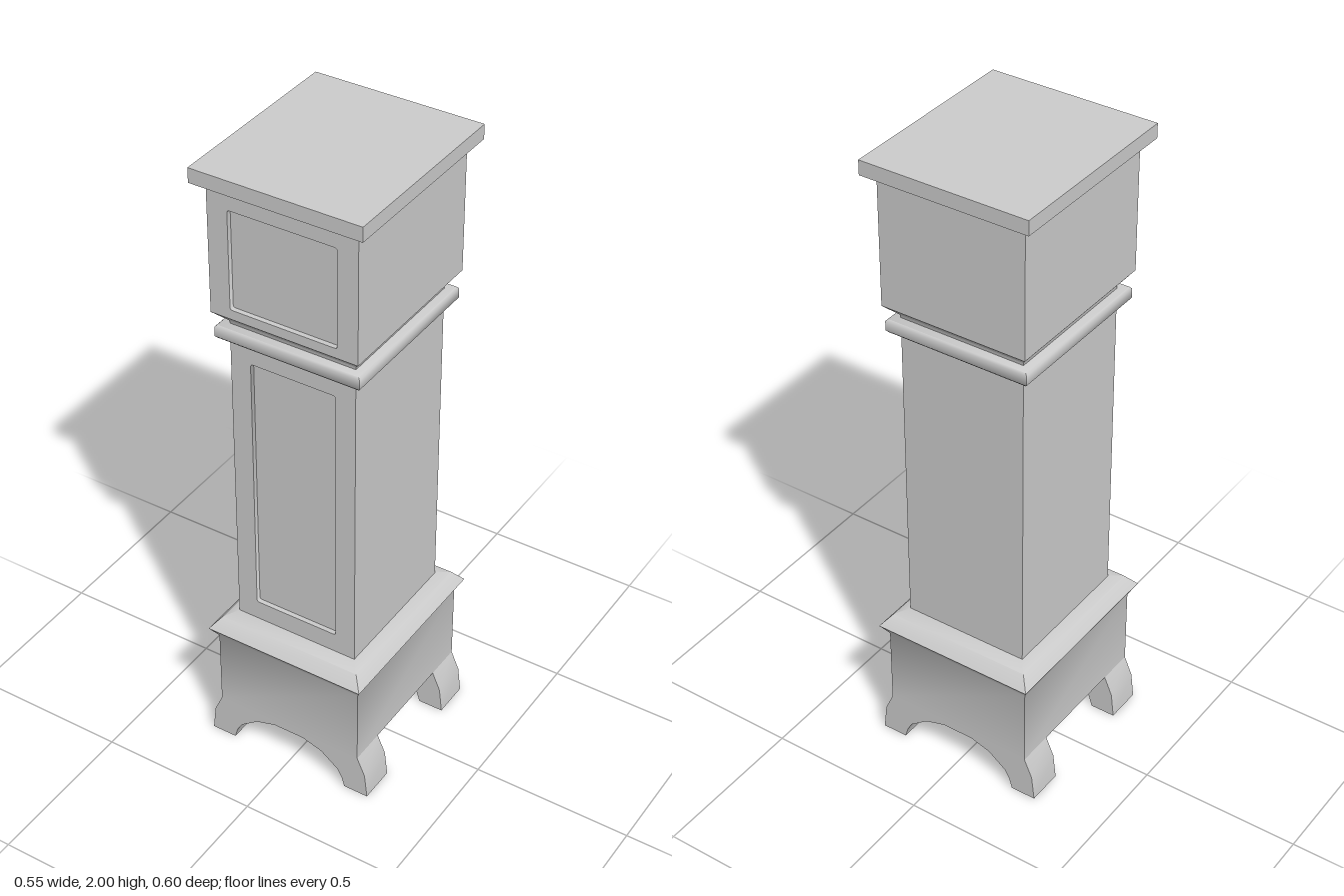
import * as THREE from 'three';
import { toCreasedNormals } from 'three/addons/utils/BufferGeometryUtils.js';

const material = new THREE.MeshStandardMaterial({ color: 0xcccccc });

function add(group, name, geometry) {
  const mesh = new THREE.Mesh(toCreasedNormals(geometry, 0.9), material);
  mesh.name = name;
  group.add(mesh);
  return mesh;
}

// Closed rectangular loft; each ring is [half width, half depth, height]
function loft(rings) {
  const positions = [], index = [];
  for (const [w, d, y] of rings) positions.push(-w, y, d, w, y, d, w, y, -d, -w, y, -d);
  for (let r = 0; r < rings.length - 1; r++) {
    for (let i = 0; i < 4; i++) {
      const a = r * 4 + i, b = r * 4 + (i + 1) % 4;
      index.push(a, b, b + 4, a, b + 4, a + 4);
    }
  }
  const t = (rings.length - 1) * 4;
  index.push(0, 2, 1, 0, 3, 2, t, t + 1, t + 2, t, t + 2, t + 3);
  const geometry = new THREE.BufferGeometry();
  geometry.setAttribute('position', new THREE.Float32BufferAttribute(positions, 3));
  geometry.setIndex(index);
  return geometry;
}

function roundedRect(target, x, y0, y1, r) {
  target.moveTo(-x + r, y0);
  target.lineTo(x - r, y0).quadraticCurveTo(x, y0, x, y0 + r);
  target.lineTo(x, y1 - r).quadraticCurveTo(x, y1, x - r, y1);
  target.lineTo(-x + r, y1).quadraticCurveTo(-x, y1, -x, y1 - r);
  target.lineTo(-x, y0 + r).quadraticCurveTo(-x, y0, -x + r, y0);
  return target;
}

// Box section whose front carries a frame around a sunken panel
function panelledCase(name, w, d, y0, y1, panel) {
  const group = new THREE.Group();
  group.name = name;
  const sink = 0.015;
  const core = new THREE.BoxGeometry(w * 2, y1 - y0, d * 2 - sink);
  core.translate(0, (y0 + y1) / 2, -sink / 2);
  add(group, name + 'Body', core);
  const shape = new THREE.Shape([[-w, y0], [w, y0], [w, y1], [-w, y1]].map(p => new THREE.Vector2(...p)));
  shape.holes.push(roundedRect(new THREE.Path(), ...panel, 0.008));
  const frame = new THREE.ExtrudeGeometry(shape, { depth: sink, bevelEnabled: false, curveSegments: 3 });
  frame.translate(0, 0, d - sink);
  add(group, name + 'Frame', frame);
  return group;
}

export function createModel() {
  const clock = new THREE.Group();
  clock.name = 'longcaseClock';

  // Arched bracket feet, one pair at the front and one at the back
  const half = [[0.05, 0.123], [0.115, 0.103], [0.172, 0.06], [0.188, 0.032], [0.197, 0],
    [0.277, 0], [0.268, 0.08], [0.242, 0.14]];
  const mirrored = half.map(([x, y]) => [-x, y]).reverse();
  const outline = [...mirrored, ...half].map(p => new THREE.Vector2(...p));
  for (const [name, z] of [['frontFeet', 0.16], ['backFeet', -0.275]]) {
    const feet = new THREE.ExtrudeGeometry(new THREE.Shape(outline), { depth: 0.115, bevelEnabled: false });
    feet.translate(0, 0, z);
    add(clock, name, feet);
  }

  // Plinth with its moulded top
  add(clock, 'plinth', loft([[0.242, 0.275, 0.14], [0.242, 0.275, 0.392], [0.262, 0.3, 0.428],
    [0.232, 0.268, 0.466], [0.2, 0.23, 0.477]]));

  // Trunk with its long door
  clock.add(panelledCase('trunk', 0.2, 0.227, 0.47, 1.47, [0.136, 0.54, 1.39]));

  // Collar and the neck above it
  add(clock, 'collar', loft([[0.224, 0.252, 1.46], [0.23, 0.257, 1.466], [0.23, 0.257, 1.496], [0.224, 0.252, 1.502]]));
  add(clock, 'hoodFlare', loft([[0.2, 0.227, 1.5], [0.2, 0.227, 1.51], [0.232, 0.268, 1.55]]));

  // Hood with the dial opening
  clock.add(panelledCase('hood', 0.232, 0.268, 1.55, 1.94, [0.168, 1.58, 1.888]));

  // Cornice
  add(clock, 'cornice', loft([[0.234, 0.27, 1.936], [0.264, 0.3, 1.955], [0.264, 0.3, 2]]));
  return clock;
}
